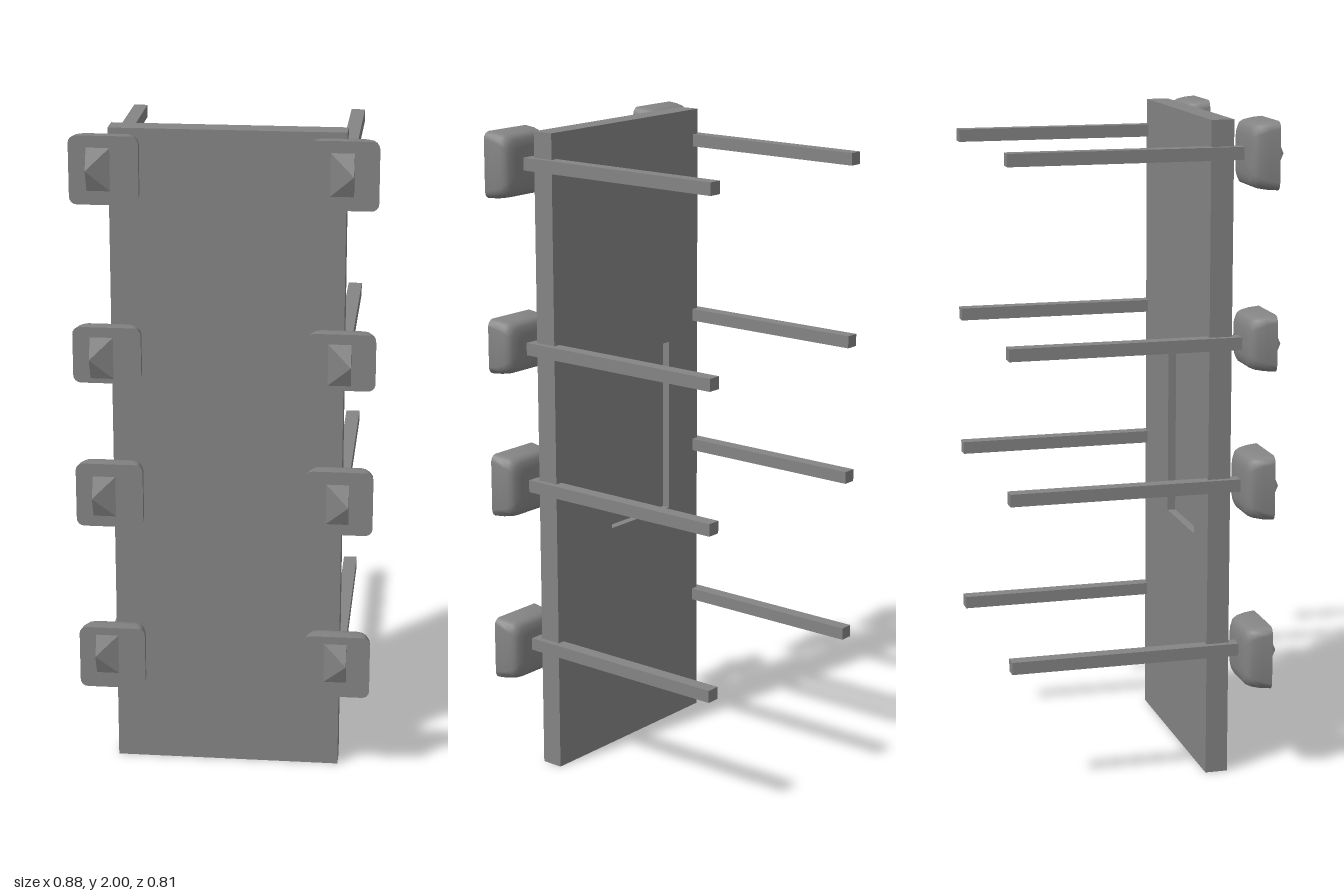
import * as THREE from 'three';
import { toCreasedNormals } from 'three/addons/utils/BufferGeometryUtils.js';

const material = new THREE.MeshStandardMaterial({ color: 0x848484 });

function add(parent, name, geometry, x = 0, y = 0, z = 0) {
  const mesh = new THREE.Mesh(geometry, material);
  mesh.name = name;
  mesh.position.set(x, y, z);
  parent.add(mesh);
}

// Non-indexed geometry from a flat list of Vector3 triangles
function fromTriangles(points, crease) {
  const geometry = new THREE.BufferGeometry().setFromPoints(points);
  geometry.computeVertexNormals();
  return crease ? toCreasedNormals(geometry, crease) : geometry;
}

// Rounded rectangle, counter-clockwise seen from the front
function roundedRing(hw, hh, r, z) {
  const ring = [];
  const corners = [[1, -1], [1, 1], [-1, 1], [-1, -1]];
  corners.forEach(([sx, sy], c) => {
    for (let i = 0; i <= 4; i++) {
      const a = (c - 1 + i / 4) * Math.PI / 2;
      ring.push(new THREE.Vector3(
        sx * (hw - r) + r * Math.cos(a), sy * (hh - r) + r * Math.sin(a), z));
    }
  });
  return ring;
}

// Cushion: flat at the front, softly rounded towards the back
function padGeometry(hw, hh) {
  const layers = [ // z, inset, corner radius
    [0.297, 0.045, 0.03], [0.301, 0.022, 0.035], [0.309, 0.011, 0.035],
    [0.322, 0.006, 0.032], [0.347, 0.002, 0.027], [0.38, 0, 0.022],
  ];
  const rings = layers.map(([z, inset, r]) => roundedRing(hw - inset, hh - inset, r, z));
  const n = rings[0].length, last = rings.length - 1, tri = [];
  const backCentre = new THREE.Vector3(0, 0, layers[0][0]);
  const frontCentre = new THREE.Vector3(0, 0, layers[last][0]);
  for (let i = 0; i < n; i++) {
    const j = (i + 1) % n;
    for (let k = 0; k < last; k++) {
      const a = rings[k], b = rings[k + 1];
      tri.push(a[i], a[j], b[j], a[i], b[j], b[i]);
    }
    tri.push(backCentre, rings[0][j], rings[0][i]);
    tri.push(frontCentre, rings[last][i], rings[last][j]);
  }
  return fromTriangles(tri, 0.8);
}

// Faceted stud with its peak over the outer edge
function studGeometry(side) {
  const w = 0.035, h = 0.065;
  const base = [[w, -h], [w, h], [-w, h], [-w, -h]].map(([x, y]) => new THREE.Vector3(x, y, 0));
  const peak = new THREE.Vector3(side * w, 0, 0.027);
  return fromTriangles(base.flatMap((p, i) => [p, base[(i + 1) % 4], peak]));
}

export function createModel() {
  const model = new THREE.Group();
  model.name = 'peggedBoard';

  // Board with a shallow rectangular recess in its back
  const board = new THREE.Group();
  board.name = 'board';
  model.add(board);
  add(board, 'boardFront', new THREE.BoxGeometry(0.686, 2, 0.044), 0, 1, 0.249);
  const outline = new THREE.Shape([[-0.343, 0], [0.343, 0], [0.343, 2], [-0.343, 2]]
    .map(p => new THREE.Vector2(...p)));
  outline.holes.push(new THREE.Path([[-0.2, 0.725], [-0.2, 1.275], [0.085, 1.275], [0.085, 0.725]]
    .map(p => new THREE.Vector2(...p))));
  add(board, 'recessedBack',
    new THREE.ExtrudeGeometry(outline, { depth: 0.025, bevelEnabled: false }), 0, 0, 0.202);

  // Four rows of rods, each with a cushion and stud in front
  const rows = [ // rod height, pad centre, pad half height
    [0.395, 0.383, 0.099], [0.91, 0.913, 0.099], [1.342, 1.35, 0.085], [1.903, 1.9, 0.1],
  ];
  for (const side of [-1, 1]) {
    for (const [rodY, padY, padH] of rows) {
      const peg = new THREE.Group();
      peg.name = side > 0 ? 'leftPeg' : 'rightPeg';
      model.add(peg);
      add(peg, 'rod', new THREE.BoxGeometry(0.042, 0.038, 0.715), side * 0.341, rodY, -0.049);
      add(peg, 'pad', padGeometry(0.1, padH), side * 0.341, padY, 0);
      add(peg, 'stud', studGeometry(side), side > 0 ? 0.335 : -0.355, rodY, 0.379);
    }
  }
  return model;
}
